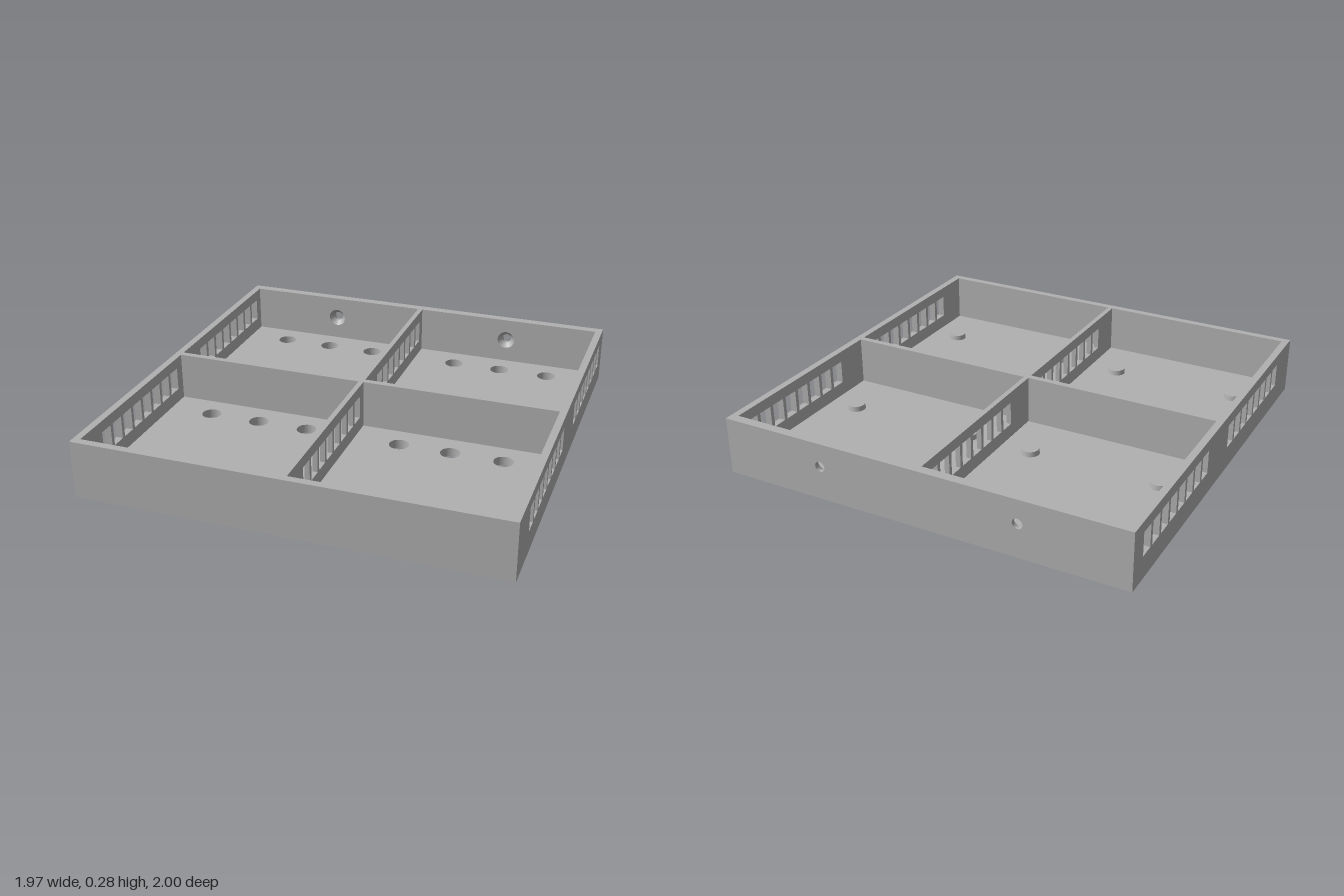
import * as THREE from 'three';

export function createModel() {
  const group = new THREE.Group();
  group.name = 'dividedTray';
  const grey = new THREE.MeshStandardMaterial({ color: 0xb0b0b0 });
  grey.name = 'grey';

  const W = 0.985, H = 0.275, FLOOR = 0.043;
  const INNER_X = 0.951, BACK = -0.955, FRONT = 0.964;

  const add = (name, geometry, x = 0, y = 0, z = 0) => {
    const mesh = new THREE.Mesh(geometry, grey);
    mesh.name = name;
    mesh.position.set(x, y, z);
    group.add(mesh);
    return mesh;
  };
  const rect = (x0, y0, x1, y1, Type = THREE.Shape) => new Type([
    new THREE.Vector2(x0, y0), new THREE.Vector2(x1, y0),
    new THREE.Vector2(x1, y1), new THREE.Vector2(x0, y1)]);
  const hole = (x, y, r) => new THREE.Path().absarc(x, y, r, 0, Math.PI * 2, true);
  const extrude = (shape, depth) =>
    new THREE.ExtrudeGeometry(shape, { depth, bevelEnabled: false, curveSegments: 32 });

  // Floor with three drain holes in each compartment
  const floor = rect(-W, -1, W, 1);
  for (const z of [-0.828, 0.147])
    for (const side of [-1, 1])
      for (const x of [0.233, 0.482, 0.734]) floor.holes.push(hole(side * x, -z, 0.047));
  add('floor', extrude(floor, FLOOR).rotateX(-Math.PI / 2));

  // Three lengthwise walls, each with two rows of eight vent slots
  const slottedWall = (name, x0, x1) => {
    const wall = rect(-1, FLOOR, 1, H);
    for (const start of [0.791, -0.186])
      for (let i = 0; i < 8; i++) {
        const s = -start + i * 0.0924;
        wall.holes.push(rect(s, 0.11, s + 0.073, 0.222, THREE.Path));
      }
    add(name, extrude(wall, x1 - x0).rotateY(Math.PI / 2), x0);
  };
  slottedWall('rightWall', -W, -INNER_X);
  slottedWall('centreWall', -0.012, 0.012);
  slottedWall('leftWall', INNER_X, W);

  // Plain cross walls
  const span = INNER_X - 0.012;
  for (const side of [-1, 1]) {
    const x = side * (0.012 + span / 2);
    const crossWall = (name, z0, z1) =>
      add(name, new THREE.BoxGeometry(span, H - FLOOR, z1 - z0), x, (H + FLOOR) / 2, (z0 + z1) / 2);
    crossWall('frontWall', FRONT, 1);
    crossWall('middleWall', -0.01, 0.02);

    // Back wall: screw hole outside, countersink inside
    const layer = (name, r, z0, z1) => {
      const shape = rect(x - span / 2, FLOOR, x + span / 2, H);
      shape.holes.push(hole(side * 0.482, 0.162, r));
      add(name, extrude(shape, z1 - z0), 0, 0, z0);
    };
    layer('backWallOuter', 0.024, -1, -0.98);
    layer('backWallInner', 0.045, -0.98, BACK);
    const cone = new THREE.LatheGeometry(
      [new THREE.Vector2(0.045, 0.025), new THREE.Vector2(0.024, 0)], 32);
    add('countersink', cone.rotateX(Math.PI / 2), side * 0.482, 0.162, -0.98);
  }

  // Low locating studs, two per compartment
  for (const z of [-0.28, 0.694])
    for (const x of [-0.803, -0.165, 0.165, 0.803])
      add('stud', new THREE.CylinderGeometry(0.04, 0.044, 0.024, 24), x, FLOOR + 0.012, z);

  return group;
}
